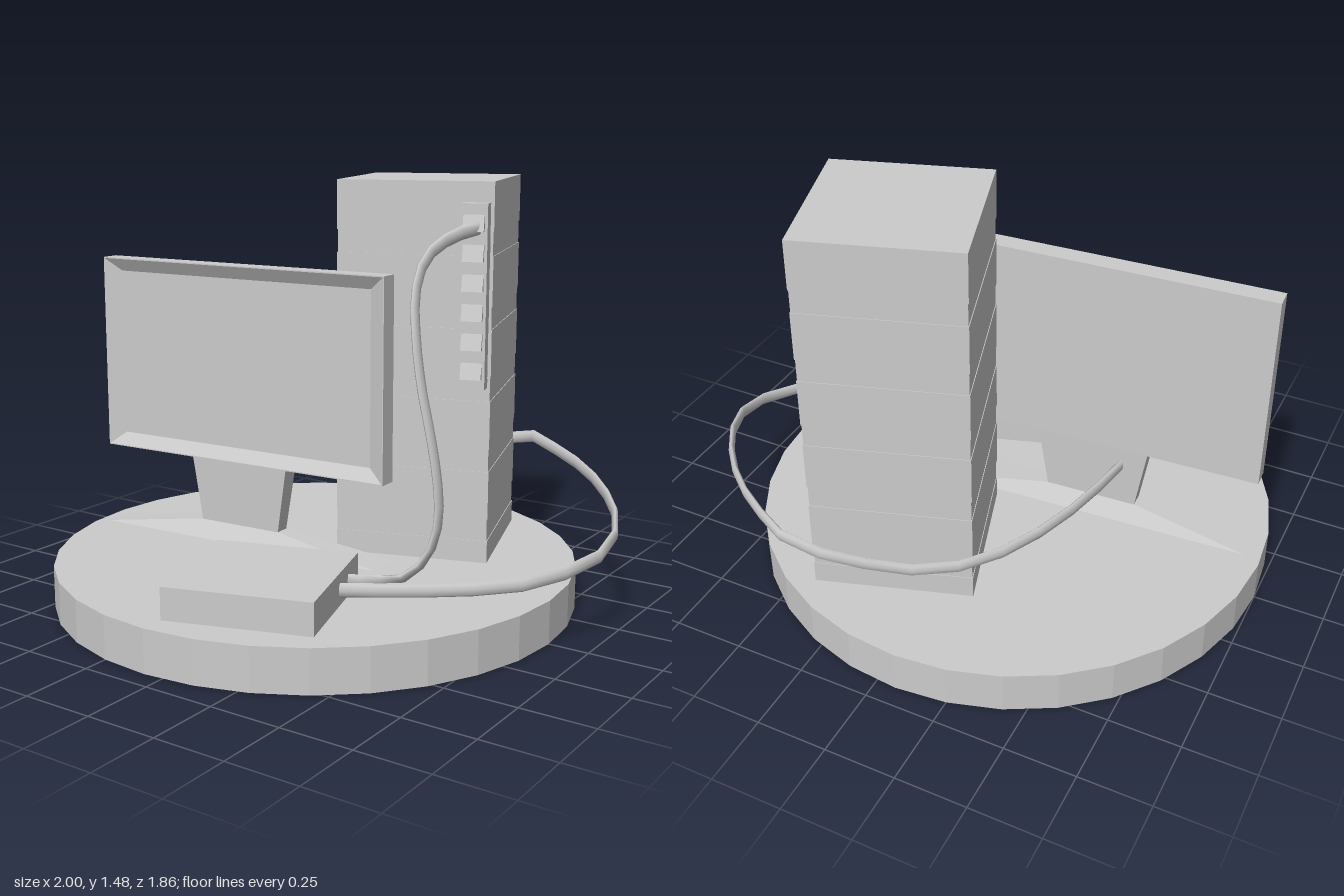
import * as THREE from 'three';

const faceted = new THREE.MeshStandardMaterial({ color: 0xcccccc, flatShading: true });
const smooth = new THREE.MeshStandardMaterial({ color: 0xcccccc });

function addMesh(parent, name, geometry, x = 0, y = 0, z = 0, material = faceted) {
  const mesh = new THREE.Mesh(geometry, material);
  mesh.name = name;
  mesh.position.set(x, y, z);
  parent.add(mesh);
}

function addGroup(parent, name, x, z, turn) {
  const group = new THREE.Group();
  group.name = name;
  group.position.set(x, 0, z);
  group.rotation.y = turn;
  parent.add(group);
  return group;
}

// Skin a list of equal-sized point rings and close both ends
function loft(rings, isSmooth = false) {
  const n = rings[0].length, last = (rings.length - 1) * n, index = [];
  for (let i = 0; i < rings.length - 1; i++) {
    for (let j = 0; j < n; j++) {
      const a = i * n + j, b = i * n + (j + 1) % n;
      index.push(a, b, b + n, a, b + n, a + n);
    }
  }
  for (let k = 1; k < n - 1; k++) {
    index.push(0, k + 1, k, last, last + k, last + k + 1);
  }
  const indexed = new THREE.BufferGeometry().setFromPoints(rings.flat());
  indexed.setIndex(index);
  const geometry = isSmooth ? indexed : indexed.toNonIndexed();
  geometry.computeVertexNormals();
  return geometry;
}

const corners = [[1, 1], [1, -1], [-1, -1], [-1, 1]];

// Horizontal rectangle at height y
const flatRing = (hx, y, z0, z1) =>
  corners.map(([sx, sz]) => new THREE.Vector3(sx * hx, y, sz > 0 ? z1 : z0));

// Upright rectangle at depth z
const uprightRing = (hx, hy, z) =>
  corners.map(([sy, sx]) => new THREE.Vector3(sx * hx, sy * hy, z));

// Flattened cable; thinAxis gives the direction of its narrow side
function cable(points, thinAxis) {
  const curve = new THREE.CatmullRomCurve3(points.map(p => new THREE.Vector3(...p)));
  const steps = 22, sides = 8, rings = [];
  for (let i = 0; i <= steps; i++) {
    const p = curve.getPointAt(i / steps), t = curve.getTangentAt(i / steps);
    const thin = thinAxis(t).normalize();
    const wide = t.clone().cross(thin);
    rings.push(Array.from({ length: sides }, (_, j) => {
      const a = j / sides * Math.PI * 2;
      return p.clone().addScaledVector(thin, 0.011 * Math.cos(a))
        .addScaledVector(wide, 0.024 * Math.sin(a));
    }));
  }
  return loft(rings, true);
}

export function createModel() {
  const model = new THREE.Group();
  model.name = 'computerSet';

  // Round base
  addMesh(model, 'base', new THREE.CylinderGeometry(0.93, 0.93, 0.15, 32), -0.07, 0.075, 0);

  // Tower of stacked units with barely recessed spacers
  const tower = addGroup(model, 'tower', 0.166, -0.396, 0.31);
  const levels = [0.15, 0.23, 0.31, 0.48, 0.56, 0.73, 0.81, 0.98, 1.06, 1.23, 1.31, 1.48];
  for (let i = 0; i < levels.length - 1; i++) {
    const h = levels[i + 1] - levels[i];
    const unit = i % 2 === 0;
    const w = unit ? 0.548 : 0.543;
    addMesh(tower, unit ? 'towerUnit' : 'towerSpacer',
      new THREE.BoxGeometry(w, h, w), 0, levels[i] + h / 2, 0);
  }

  // Socket strip with wedge-shaped sockets
  const strip = addGroup(tower, 'socketStrip', 0.216, 0.29, 0);
  addMesh(strip, 'stripBody', new THREE.BoxGeometry(0.092, 0.63, 0.08), 0, 1.095, 0);
  const wedge = loft([flatRing(0.036, -0.028, 0.03, 0.06), flatRing(0.036, 0.028, 0.03, 0.044)]);
  for (let i = 0; i < 6; i++) addMesh(strip, 'socket', wedge, 0, 0.845 + i * 0.1, 0);

  // Monitor with sunken screen, tapered neck and long foot
  const monitor = addGroup(model, 'monitor', -0.35, 0.057, 0.055);
  addMesh(monitor, 'screenHousing', loft([
    uprightRing(0.6, 0.36, -0.035), uprightRing(0.6, 0.36, 0.035),
    uprightRing(0.596, 0.356, 0.035), uprightRing(0.535, 0.31, 0.008),
  ]), 0, 0.813, 0);
  addMesh(monitor, 'neck', loft([
    flatRing(0.165, 0.21, -0.028, 0.028), flatRing(0.205, 0.46, -0.033, 0.033),
  ]));
  addMesh(monitor, 'foot', loft([
    flatRing(0.59, 0.157, -0.068, 0.068), flatRing(0.175, 0.218, -0.03, 0.03),
  ]));

  // Small box in front
  const box = addGroup(model, 'smallBox', 0.092, 0.532, 0.31);
  addMesh(box, 'smallBoxBody', new THREE.BoxGeometry(0.502, 0.11, 0.502), 0, 0.205, 0);

  // Cable sweeping round the tower from the small box to the monitor
  const up = new THREE.Vector3(0, 1, 0);
  addMesh(model, 'monitorCable', cable([
    [0.29, 0.2, 0.435], [0.6, 0.225, 0.31], [0.84, 0.25, 0.17], [0.955, 0.28, 0],
    [0.99, 0.31, -0.15], [0.945, 0.35, -0.32], [0.825, 0.385, -0.51], [0.675, 0.415, -0.67],
    [0.5, 0.44, -0.8], [0.31, 0.46, -0.9], [0.22, 0.435, -0.88], [0.13, 0.385, -0.82],
    [-0.05, 0.345, -0.73], [-0.2, 0.345, -0.62], [-0.32, 0.36, -0.45],
    [-0.41, 0.375, -0.22], [-0.46, 0.38, 0.04],
  ], t => t.clone().cross(up)), 0, 0, 0, smooth);

  // Cable hanging from the socket strip to the small box
  addMesh(model, 'powerCable', cable([
    [0.49, 1.33, -0.15], [0.445, 1.305, -0.05], [0.415, 1.245, 0.06], [0.42, 1.15, 0.135],
    [0.45, 1.02, 0.185], [0.49, 0.85, 0.212], [0.53, 0.7, 0.22], [0.555, 0.57, 0.22],
    [0.565, 0.46, 0.22], [0.555, 0.36, 0.228], [0.52, 0.28, 0.243],
    [0.46, 0.225, 0.27], [0.37, 0.205, 0.3], [0.26, 0.2, 0.335],
  ], t => new THREE.Vector3(1, 0, 0).addScaledVector(t, -t.x)), 0, 0, 0, smooth);

  return model;
}
